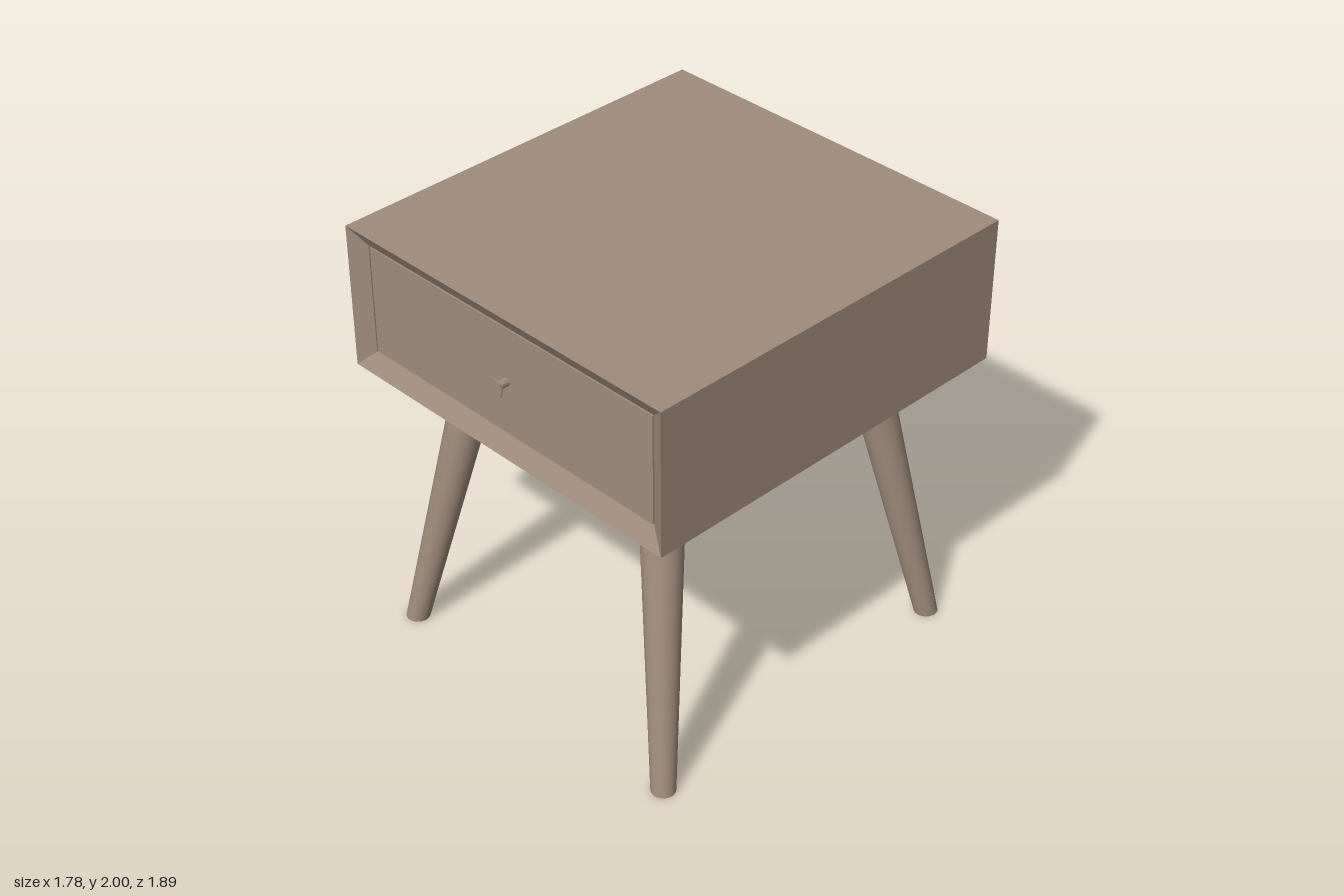
import * as THREE from 'three';
import { toCreasedNormals } from 'three/addons/utils/BufferGeometryUtils.js';

const CENTRE_Z = -0.01; // the case sits slightly back to leave room for the knob

// Skin a list of equal-sized rings (counter-clockwise about the travel direction) and cap both ends
function loft(rings, crease) {
  const n = rings[0].length;
  const position = rings.flat(2);
  const index = [];
  for (let r = 0; r < rings.length - 1; r++) {
    for (let i = 0; i < n; i++) {
      const j = (i + 1) % n;
      const a = r * n + i, b = r * n + j, c = b + n, d = a + n;
      index.push(a, b, c, a, c, d);
    }
  }
  const last = (rings.length - 1) * n;
  for (let i = 1; i < n - 1; i++) {
    index.push(0, i + 1, i);
    index.push(last, last + i, last + i + 1);
  }
  const geometry = new THREE.BufferGeometry();
  geometry.setAttribute('position', new THREE.Float32BufferAttribute(position, 3));
  geometry.setIndex(index);
  return toCreasedNormals(geometry, crease);
}

// Rectangle ring facing +z
const rectRing = (w, y0, y1, z) => [[-w, y0, z], [w, y0, z], [w, y1, z], [-w, y1, z]];

// Horizontal circle ring
function circleRing(x, y, z, radius, sides = 32) {
  return Array.from({ length: sides }, (_, i) => {
    const a = (i / sides) * Math.PI * 2;
    return [x + Math.sin(a) * radius, y, z + Math.cos(a) * radius];
  });
}

// Apron board with a raised middle, centred on its thickness
function apronGeometry(half, step, flat, thickness) {
  const shape = new THREE.Shape([
    [-half, 1.2], [-step, 1.2], [-flat, 1.27], [flat, 1.27],
    [step, 1.2], [half, 1.2], [half, 1.34], [-half, 1.34],
  ].map(([x, y]) => new THREE.Vector2(x, y)));
  return new THREE.ExtrudeGeometry(shape, { depth: thickness, bevelEnabled: false })
    .translate(0, 0, -thickness / 2);
}

export function createModel() {
  const model = new THREE.Group();
  model.name = 'nightstand';
  const wood = new THREE.MeshStandardMaterial({ color: 0xa08b7a });
  wood.name = 'wood';

  function add(name, geometry, parent = model) {
    const mesh = new THREE.Mesh(geometry, wood);
    mesh.name = name;
    parent.add(mesh);
    return mesh;
  }

  // Case with a mitred bevel running in to the drawer recess
  add('case', loft([
    rectRing(0.89, 1.34, 2, -0.945),
    rectRing(0.89, 1.34, 2, 0.925),
    rectRing(0.81, 1.417, 1.925, 0.88),
    rectRing(0.81, 1.417, 1.925, 0.85),
  ], 0.2));

  // Drawer front, with a narrow gap all round
  add('drawerFront', new THREE.BoxGeometry(1.604, 0.492, 0.035).translate(0, 1.671, 0.8625));

  // Flared knob
  const knobProfile = [[0.018, 0.875], [0.018, 0.922], [0.044, 0.94], [0.044, 0.945], [0, 0.945]]
    .map(([r, h]) => new THREE.Vector2(r, h));
  const knob = toCreasedNormals(new THREE.LatheGeometry(knobProfile, 32), 0.5);
  add('knob', knob.rotateX(Math.PI / 2).translate(0, 1.67, 0));

  // Splayed, tapered legs with level ends
  const legs = new THREE.Group();
  legs.name = 'legs';
  model.add(legs);
  for (const sz of [1, -1]) {
    for (const sx of [1, -1]) {
      const ring = (x, y, z, r) => circleRing(sx * x, y, CENTRE_Z + sz * z, r);
      add((sz > 0 ? 'front' : 'back') + (sx > 0 ? 'Left' : 'Right') + 'Leg', loft([
        ring(0.772, 0, 0.811, 0.053),
        ring(0.558, 1.2, 0.605, 0.092),
        ring(0.54, 1.34, 0.585, 0.092),
      ], 0.6), legs);
    }
  }

  // Aprons joining the legs
  const aprons = new THREE.Group();
  aprons.name = 'aprons';
  aprons.position.z = CENTRE_Z;
  model.add(aprons);
  for (const s of [1, -1]) {
    add(s > 0 ? 'frontApron' : 'backApron', apronGeometry(0.54, 0.37, 0.23, 0.06), aprons)
      .position.z = s * 0.585;
    const side = add(s > 0 ? 'leftApron' : 'rightApron', apronGeometry(0.585, 0.365, 0.212, 0.06), aprons);
    side.rotation.y = Math.PI / 2;
    side.position.x = s * 0.54;
  }

  return model;
}
